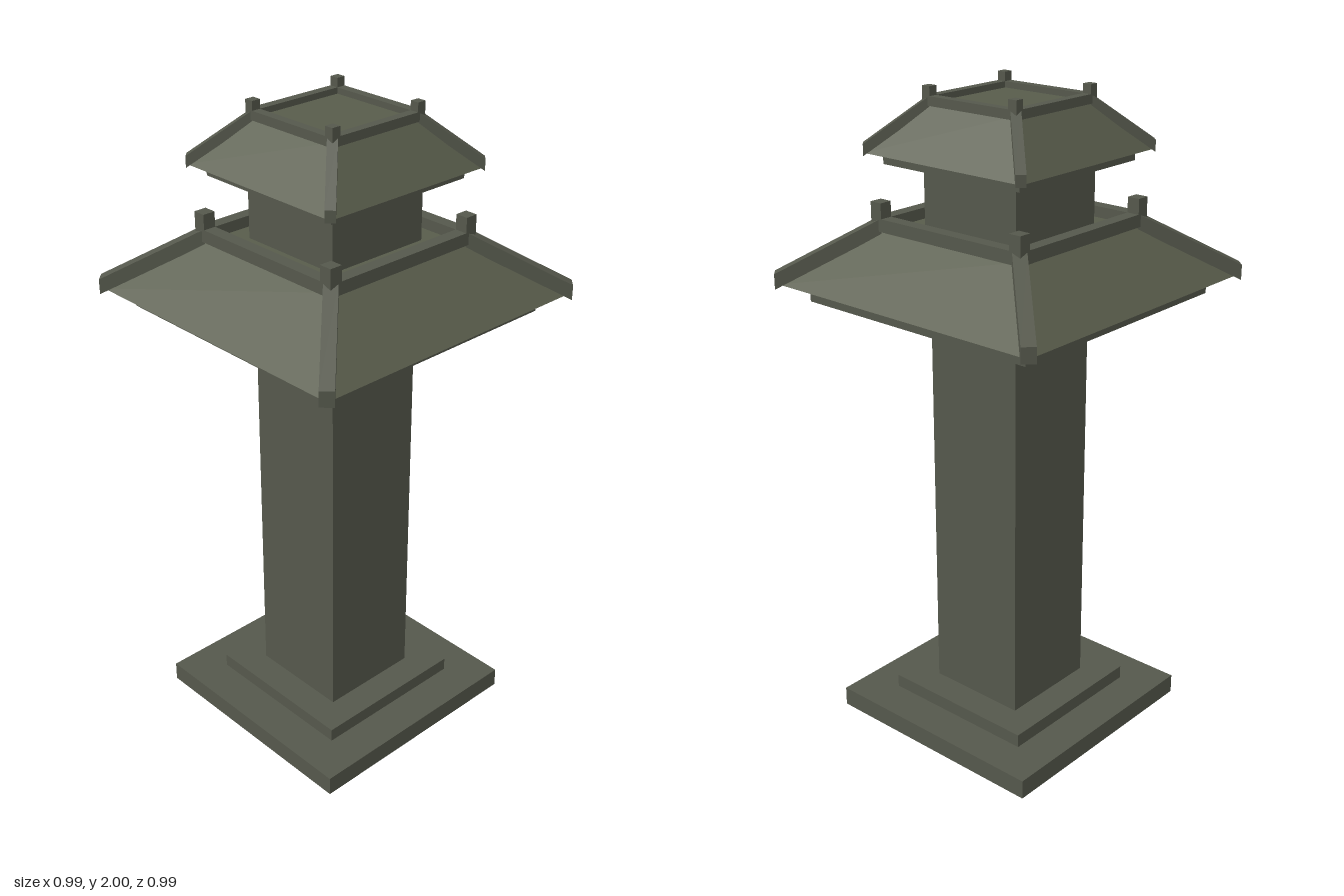
import * as THREE from 'three';

const bodyStone = new THREE.MeshStandardMaterial({ color: 0x55584c });
bodyStone.name = 'body stone';
const roofStone = new THREE.MeshStandardMaterial({ color: 0x585c4b });
roofStone.name = 'roof stone';

function add(parent, name, geometry, material) {
  const mesh = new THREE.Mesh(geometry, material);
  mesh.name = name;
  parent.add(mesh);
  return mesh;
}

// Square block, given its half width and its bottom and top heights
function block(parent, name, half, y0, y1) {
  const mesh = add(parent, name, new THREE.BoxGeometry(half * 2, y1 - y0, half * 2), bodyStone);
  mesh.position.y = (y0 + y1) / 2;
}

// Square tapered block with flat faces
function taper(parent, name, halfBottom, halfTop, y0, y1, material) {
  const tube = new THREE.CylinderGeometry(halfTop * Math.SQRT2, halfBottom * Math.SQRT2, y1 - y0, 4);
  const geometry = tube.rotateY(Math.PI / 4).toNonIndexed();
  geometry.computeVertexNormals();
  add(parent, name, geometry, material).position.y = (y0 + y1) / 2;
}

// Hipped roof with a raised rim, corner posts and sloping hip ridges
function roof(name, o) {
  const group = new THREE.Group();
  group.name = name;
  taper(group, 'roofSlopes', o.eave, o.top, o.y0, o.y1, roofStone);

  // Hip ridge profile: sloped beam with upright ends, drawn along the diagonal
  const inner = o.top * Math.SQRT2, outer = o.tip * Math.SQRT2;
  const profile = new THREE.Shape([
    new THREE.Vector2(inner, o.rimTop - o.ridgeHeight),
    new THREE.Vector2(outer, o.tipTop - o.ridgeHeight),
    new THREE.Vector2(outer, o.tipTop),
    new THREE.Vector2(inner, o.rimTop),
  ]);
  const ridge = new THREE.ExtrudeGeometry(profile, { depth: o.ridgeWidth, bevelEnabled: false });
  ridge.translate(0, 0, -o.ridgeWidth / 2);

  const rimHeight = o.rimTop - o.rimBottom;
  const rim = new THREE.BoxGeometry(o.top * 2 - o.post, rimHeight, o.post);
  rim.translate(0, o.rimBottom + rimHeight / 2, o.top);
  const postHeight = o.postTop - o.rimBottom;
  const post = new THREE.BoxGeometry(o.post, postHeight, o.post);
  post.translate(o.top, o.rimBottom + postHeight / 2, o.top);

  for (let i = 0; i < 4; i++) {
    const turn = i * Math.PI / 2;
    add(group, 'hipRidge', ridge, bodyStone).rotation.y = turn + Math.PI / 4;
    add(group, 'rimBeam', rim, bodyStone).rotation.y = turn;
    add(group, 'cornerPost', post, bodyStone).rotation.y = turn;
  }
  return group;
}

export function createModel() {
  const model = new THREE.Group();
  model.name = 'stoneLantern';

  // Stepped base and shaft
  block(model, 'basePlinth', 0.378, 0, 0.061);
  block(model, 'baseStep', 0.257, 0.061, 0.103);
  block(model, 'shaft', 0.163, 0.103, 1.273);

  // Flared capital and lower roof
  taper(model, 'capitalFlare', 0.163, 0.225, 1.273, 1.316, bodyStone);
  block(model, 'capital', 0.225, 1.316, 1.382);
  block(model, 'lowerEaveSlab', 0.41, 1.382, 1.435);
  model.add(roof('lowerRoof', {
    eave: 0.473, top: 0.26, y0: 1.435, y1: 1.597,
    tip: 0.48, tipTop: 1.472, ridgeHeight: 0.046, ridgeWidth: 0.041,
    rimBottom: 1.592, rimTop: 1.63, post: 0.04, postTop: 1.676,
  }));

  // Upper chamber and roof
  block(model, 'upperChamber', 0.172, 1.597, 1.782);
  block(model, 'upperEaveSlab', 0.252, 1.782, 1.814);
  model.add(roof('upperRoof', {
    eave: 0.29, top: 0.158, y0: 1.814, y1: 1.955,
    tip: 0.291, tipTop: 1.842, ridgeHeight: 0.034, ridgeWidth: 0.029,
    rimBottom: 1.946, rimTop: 1.973, post: 0.028, postTop: 2.0,
  }));

  return model;
}
